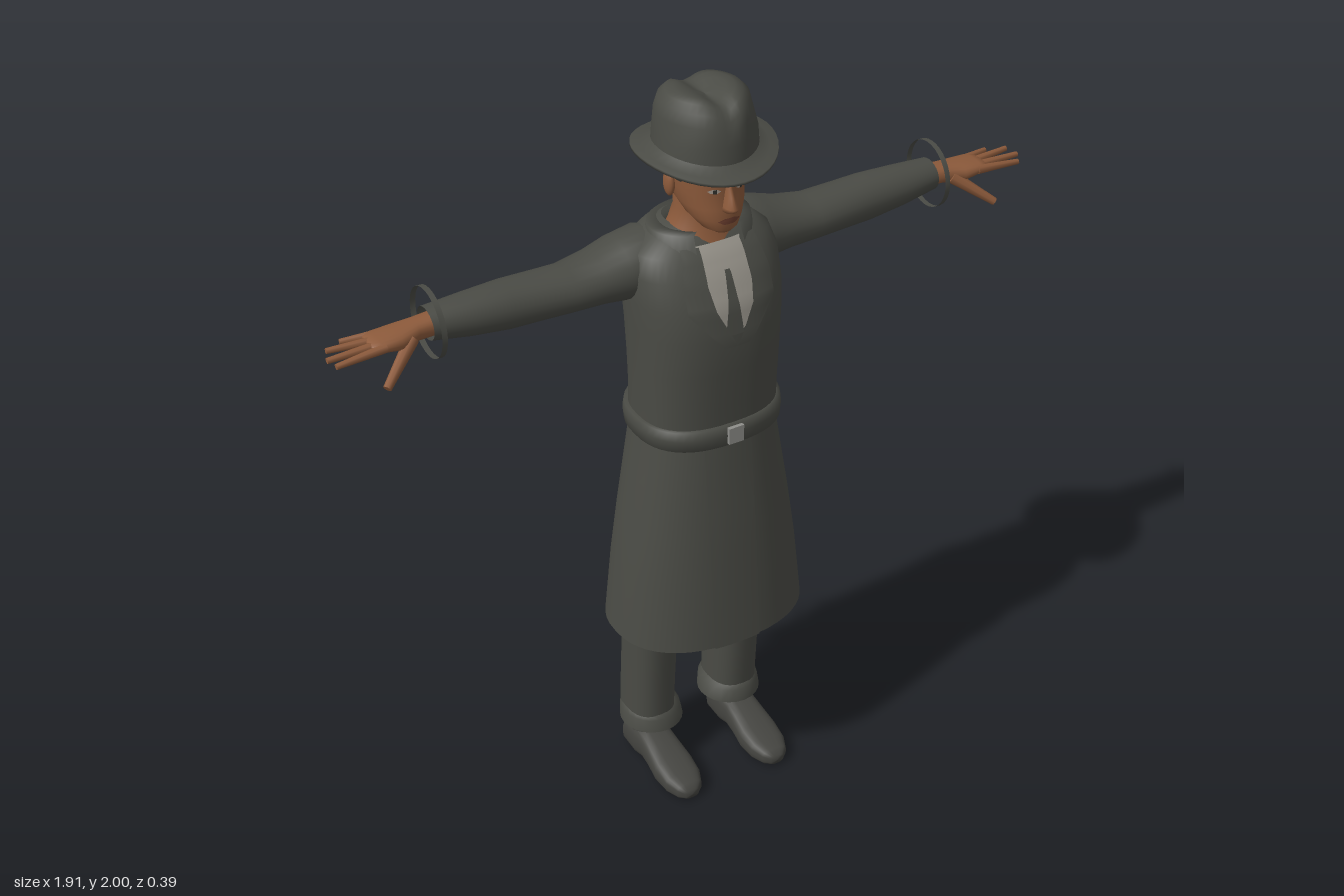
import * as THREE from 'three';

const paint = (name, color, side = THREE.FrontSide) => {
  const m = new THREE.MeshStandardMaterial({ color, side });
  m.name = name;
  return m;
};
const COAT = paint('charcoal cloth', 0x4a4b45, THREE.DoubleSide);
const SHOE = paint('shoe leather', 0x444440);
const SKIN = paint('skin', 0x8c5a3b);
const LIP = paint('lips', 0x6f4030);
const HAIR = paint('hair', 0x30312d, THREE.DoubleSide);
const SHIRT = paint('shirt', 0x99958c, THREE.DoubleSide);
const METAL = paint('buckle metal', 0x8e8e8a);
const EYE = paint('eye white', 0xa89c90);

// Axis maps: row coordinate t, cross-section coordinates u and v
const UP = { at: (u, v, t) => [u, t, v], flip: true };
const ALONG_X = { at: (u, v, t) => [t, u, v], flip: false };
const ALONG_Z = { at: (u, v, t) => [u, v, t], flip: false };

// Skins superellipse rows [t, halfU, vMax, vMin, centreU]
function loft(rows, { axis = UP, pow = 2, seg = 32, from = 0, to = Math.PI * 2, bend } = {}) {
  const pos = [], idx = [], closed = to - from > 6.28, cols = closed ? seg : seg + 1;
  const curve = (k) => Math.sign(k) * Math.abs(k) ** (2 / pow);
  for (const [t, ru, v1, v0, cu = 0] of rows) {
    for (let j = 0; j < cols; j++) {
      const a = from + (to - from) * j / seg;
      const p = axis.at(cu + ru * curve(Math.cos(a)), (v1 + v0) / 2 + (v1 - v0) / 2 * curve(Math.sin(a)), t);
      pos.push(...(bend ? bend(...p) : p));
    }
  }
  for (let i = 0; i < rows.length - 1; i++) {
    for (let j = 0; j < seg; j++) {
      const k = (j + 1) % cols, a = i * cols + j, b = i * cols + k, c = a + cols, d = b + cols;
      if (axis.flip) idx.push(a, c, b, b, c, d);
      else idx.push(a, b, c, b, d, c);
    }
  }
  return finish(pos, idx);
}

function finish(pos, idx) {
  const g = new THREE.BufferGeometry();
  g.setAttribute('position', new THREE.Float32BufferAttribute(pos, 3));
  g.setIndex(idx);
  g.computeVertexNormals();
  return g;
}

// Front depth of an upright loft at x, y
function frontZ(rows, pow, x, y) {
  let i = 0;
  while (i < rows.length - 2 && rows[i + 1][0] < y) i++;
  const k = THREE.MathUtils.clamp((y - rows[i][0]) / (rows[i + 1][0] - rows[i][0]), 0, 1);
  const [w, f, b] = [1, 2, 3].map((n) => THREE.MathUtils.lerp(rows[i][n], rows[i + 1][n], k));
  return (f + b) / 2 + (f - b) / 2 * Math.max(0, 1 - Math.abs(x / w) ** pow) ** (1 / pow);
}

// Thin plate hugging a loft's front, spans [y, xMin, xMax] from top to bottom
function plate(spans, rows, pow, lift) {
  const pos = [], idx = [], n = 6, fine = 5, total = (spans.length - 1) * fine;
  for (let i = 0; i <= total; i++) {
    const s = Math.min(Math.floor(i / fine), spans.length - 2), k = i / fine - s;
    const [y, l, r] = [0, 1, 2].map((c) => THREE.MathUtils.lerp(spans[s][c], spans[s + 1][c], k));
    for (let j = 0; j <= n; j++) {
      const x = l + (r - l) * j / n;
      pos.push(x, y, frontZ(rows, pow, x, y) + lift);
    }
  }
  for (let i = 0; i < total; i++) for (let j = 0; j < n; j++) {
    const a = i * (n + 1) + j, c = a + n + 1;
    idx.push(a, c, a + 1, a + 1, c, c + 1);
  }
  return finish(pos, idx);
}

function mirrored(geo) {
  const g = geo.clone().scale(-1, 1, 1), ix = g.index.array;
  for (let i = 0; i < ix.length; i += 3) [ix[i], ix[i + 1]] = [ix[i + 1], ix[i]];
  return g;
}

// Rounded finger between two points
function finger(a, b, r) {
  const p = new THREE.Vector3(...a), q = new THREE.Vector3(...b), d = q.clone().sub(p);
  const g = new THREE.CylinderGeometry(r * 0.6, r, d.length(), 8, 1);
  const tip = new THREE.Quaternion().setFromUnitVectors(new THREE.Vector3(0, 1, 0), d.normalize());
  return g.applyQuaternion(tip).translate(...p.add(q).multiplyScalar(0.5).toArray());
}

const blob = (x, y, z, rx, ry, rz) => new THREE.SphereGeometry(1, 16, 10).scale(rx, ry, rz).translate(x, y, z);

export function createModel() {
  const model = new THREE.Group();
  model.name = 'manInCoat';
  const add = (name, geo, mat) => {
    const m = new THREE.Mesh(geo, mat);
    m.name = name;
    model.add(m);
  };
  const addPair = (name, geo, mat) => {
    add('left' + name, geo, mat);
    add('right' + name, mirrored(geo), mat);
  };

  // Coat body with soft creases
  const torso = [[1.12, 0.183, 0.145, -0.15], [1.2, 0.183, 0.147, -0.145], [1.3, 0.186, 0.153, -0.148],
    [1.4, 0.19, 0.155, -0.153], [1.48, 0.195, 0.143, -0.153], [1.55, 0.195, 0.115, -0.15],
    [1.6, 0.18, 0.085, -0.14], [1.635, 0.135, 0.055, -0.12], [1.65, 0.08, 0.03, -0.1]];
  add('coatBody', loft(torso, { pow: 2.5, seg: 48, bend: (x, y, z) => [x, y, z < 0 ? z + 0.008 * Math.exp(-((x / 0.04) ** 2)) : z] }), COAT);

  // Coat skirt, with a shallow back pleat and an overlapping front edge
  const skirt = [[0.51, 0.262, 0.2, -0.195], [0.7, 0.243, 0.186, -0.183], [0.85, 0.222, 0.174, -0.173],
    [0.97, 0.203, 0.162, -0.164], [1.1, 0.183, 0.15, -0.154]];
  add('coatSkirt', loft(skirt, { pow: 2.3, seg: 48,
    bend: (x, y, z) => [x, y, z < 0 ? z + 0.03 * (1.1 - y) * Math.exp(-((x / 0.04) ** 2)) : z] }), COAT);
  add('frontFlap', plate([[1.09, -0.08, 0.05], [0.8, -0.08, 0.05], [0.51, -0.08, 0.05]], skirt, 2.3, 0.004), COAT);

  // Belt and buckle
  const belt = [[1.095, 0.18, 0.145, -0.15], [1.095, 0.192, 0.157, -0.162], [1.125, 0.195, 0.16, -0.165],
    [1.15, 0.192, 0.156, -0.16], [1.15, 0.18, 0.14, -0.145]];
  add('belt', loft(belt, { pow: 2.5, seg: 48 }), COAT);
  add('buckle', new THREE.BoxGeometry(0.042, 0.045, 0.01).translate(-0.002, 1.125, 0.162), METAL);

  // Shirt, tie, lapels and collar
  add('shirt', plate([[1.62, -0.06, 0.06], [1.56, -0.065, 0.06], [1.46, -0.085, 0.065], [1.41, -0.01, 0.015]], torso, 2.5, 0.004), SHIRT);
  add('tie', plate([[1.565, -0.007, 0.007], [1.5, -0.014, 0.012], [1.41, -0.03, 0.02]], torso, 2.5, 0.008), COAT);
  addPair('Lapel', plate([[1.62, 0.055, 0.1], [1.54, 0.06, 0.118], [1.48, 0.05, 0.118], [1.38, 0.0, 0.035]], torso, 2.5, 0.011), COAT);
  add('collar', loft([[1.595, 0.138, 0.105, -0.13], [1.648, 0.132, 0.08, -0.118], [1.645, 0.088, 0.055, -0.09], [1.61, 0.085, 0.05, -0.085]],
    { from: Math.PI / 2 + 0.5, to: Math.PI * 2.5 - 0.5, seg: 36 }), COAT);

  // Sleeves and loose wrist bands
  addPair('Sleeve', loft([[0.08, 0.08, 0.02, -0.12, 1.55], [0.14, 0.087, 0.03, -0.145, 1.55], [0.2, 0.078, 0.025, -0.153, 1.54],
    [0.26, 0.065, 0.015, -0.145, 1.533], [0.34, 0.057, 0.01, -0.135, 1.528], [0.5, 0.06, 0, -0.125, 1.533],
    [0.6, 0.052, -0.005, -0.117, 1.538], [0.7, 0.04, -0.015, -0.108, 1.544]], { axis: ALONG_X, seg: 24 }), COAT);
  addPair('WristBand', loft([[0.688, 0.088, 0.03, -0.14, 1.55], [0.702, 0.088, 0.03, -0.14, 1.55]], { axis: ALONG_X }), COAT);

  // Hands
  addPair('Palm', loft([[0.68, 0.027, -0.03, -0.09, 1.542], [0.73, 0.025, -0.028, -0.09, 1.54], [0.78, 0.024, -0.008, -0.095, 1.538],
    [0.83, 0.016, -0.006, -0.093, 1.542], [0.85, 0.01, -0.012, -0.088, 1.542], [0.855, 0, -0.05, -0.05, 1.542]],
    { axis: ALONG_X, pow: 2.4, seg: 20 }), SKIN);
  [[0.945, 1.532, -0.014, -0.016], [0.957, 1.54, -0.036, -0.036], [0.945, 1.545, -0.068, -0.057], [0.9, 1.54, -0.096, -0.08]]
    .forEach(([x, y, z, z0], i) => addPair('Finger' + (i + 1), finger([0.82, 1.542, z0], [x, y, z], 0.012), SKIN));
  addPair('Thumb', finger([0.75, 1.535, -0.03], [0.845, 1.465, 0.03], 0.017), SKIN);

  // Neck and head
  add('neck', loft([[1.57, 0.105, 0.085, -0.1], [1.62, 0.095, 0.07, -0.09], [1.65, 0.08, 0.055, -0.078],
    [1.69, 0.066, 0.05, -0.07], [1.76, 0.066, 0.05, -0.075]]), SKIN);
  const head = [[1.662, 0, 0.09, 0.09], [1.664, 0.025, 0.112, 0.05], [1.675, 0.045, 0.12, 0.02], [1.7, 0.064, 0.122, -0.03],
    [1.73, 0.077, 0.122, -0.07], [1.765, 0.083, 0.117, -0.09], [1.8, 0.087, 0.122, -0.097], [1.88, 0.09, 0.12, -0.095]];
  add('head', loft(head, { pow: 2.2 }), SKIN);
  add('nose', loft([[1.722, 0.004, 0.13, 0.1], [1.728, 0.018, 0.145, 0.1], [1.74, 0.017, 0.155, 0.1], [1.765, 0.01, 0.139, 0.1],
    [1.795, 0.008, 0.126, 0.1]], { seg: 16 }), SKIN);
  addPair('Ear', blob(0.09, 1.768, 0, 0.012, 0.034, 0.02), SKIN);
  addPair('Eye', plate([[1.786, 0.03, 0.04], [1.78, 0.02, 0.05], [1.774, 0.028, 0.042]], head, 2.2, 0.002), EYE);
  addPair('Pupil', plate([[1.786, 0.031, 0.039], [1.774, 0.031, 0.039]], head, 2.2, 0.004), HAIR);
  addPair('Eyebrow', plate([[1.806, 0.025, 0.055], [1.797, 0.015, 0.062]], head, 2.2, 0.004), HAIR);
  add('mouth', plate([[1.708, -0.012, 0.012], [1.701, -0.03, 0.03], [1.692, -0.014, 0.014]], head, 2.2, 0.004), LIP);

  // Hair at the back, with sideburns
  add('backHair', loft([[1.725, 0.07, 0.1, -0.078], [1.74, 0.082, 0.115, -0.09], [1.77, 0.09, 0.12, -0.1], [1.81, 0.093, 0.12, -0.104],
    [1.87, 0.095, 0.12, -0.102]], { pow: 2.2, from: Math.PI + 0.15, to: Math.PI * 2 - 0.15 }), HAIR);
  add('sideHair', loft([[1.79, 0.091, 0.12, -0.102], [1.83, 0.093, 0.123, -0.104], [1.87, 0.095, 0.123, -0.102]],
    { pow: 2.2, from: Math.PI - 0.35, to: Math.PI * 2 + 0.35 }), HAIR);

  // Hat: crown creased lengthwise and a drooping brim
  const crease = (x, y, z) => [x * (z > 0 && y > 1.93 ? 1 - 1.2 * z : 1), y - (y > 1.94 ? 0.022 * Math.exp(-((x / 0.032) ** 2)) : 0), z];
  add('hatCrown', loft([[1.845, 0.126, 0.145, -0.122], [1.9, 0.122, 0.141, -0.118], [1.945, 0.118, 0.136, -0.113], [1.975, 0.11, 0.125, -0.102],
    [1.993, 0.092, 0.107, -0.085], [2, 0.072, 0.085, -0.062], [2.001, 0.05, 0.062, -0.04], [2, 0.025, 0.035, -0.015], [2, 0, 0.01, 0.01]],
    { seg: 40, bend: crease }), COAT);
  const droop = (x, y, z) => [x, y - 0.024 * (z / 0.18) ** 2, z];
  add('hatBrim', loft([[1.858, 0.09, 0.11, -0.09], [1.856, 0.125, 0.145, -0.12], [1.85, 0.15, 0.168, -0.147], [1.852, 0.17, 0.19, -0.175],
    [1.859, 0.17, 0.19, -0.175], [1.858, 0.15, 0.168, -0.147], [1.872, 0.125, 0.144, -0.12]], { seg: 40, bend: droop }), COAT);

  // Trousers and loose turn-ups
  addPair('TrouserLeg', loft([[0.14, 0.066, 0, -0.16, 0.127], [0.3, 0.066, 0.012, -0.15, 0.127], [0.5, 0.067, 0.03, -0.132, 0.127],
    [0.9, 0.08, 0.07, -0.1, 0.12]], { pow: 2.3, seg: 24 }), COAT);
  addPair('TurnUp', loft([[0.125, 0.084, 0.02, -0.155, 0.121], [0.16, 0.079, 0.014, -0.158, 0.122], [0.172, 0.064, 0, -0.157, 0.127]], { seg: 24 }), COAT);

  // Shoes and ankles
  addPair('Ankle', loft([[0.07, 0.044, -0.01, -0.12, 0.135], [0.12, 0.04, -0.02, -0.115, 0.132], [0.2, 0.045, -0.025, -0.12, 0.13]], { seg: 20 }), SHOE);
  addPair('Shoe', loft([[-0.137, 0, 0.03, 0.03, 0.133], [-0.136, 0.032, 0.06, 0, 0.133], [-0.125, 0.045, 0.085, 0, 0.133], [-0.06, 0.05, 0.105, 0, 0.133],
    [-0.02, 0.049, 0.1, 0.012, 0.133], [0.02, 0.052, 0.087, 0.01, 0.133], [0.07, 0.057, 0.071, 0, 0.133], [0.12, 0.053, 0.057, 0, 0.133],
    [0.155, 0.038, 0.046, 0.002, 0.133], [0.17, 0.02, 0.033, 0.006, 0.133], [0.172, 0, 0.018, 0.018, 0.133]],
    { axis: ALONG_Z, pow: 3, seg: 24 }), SHOE);

  return model;
}
